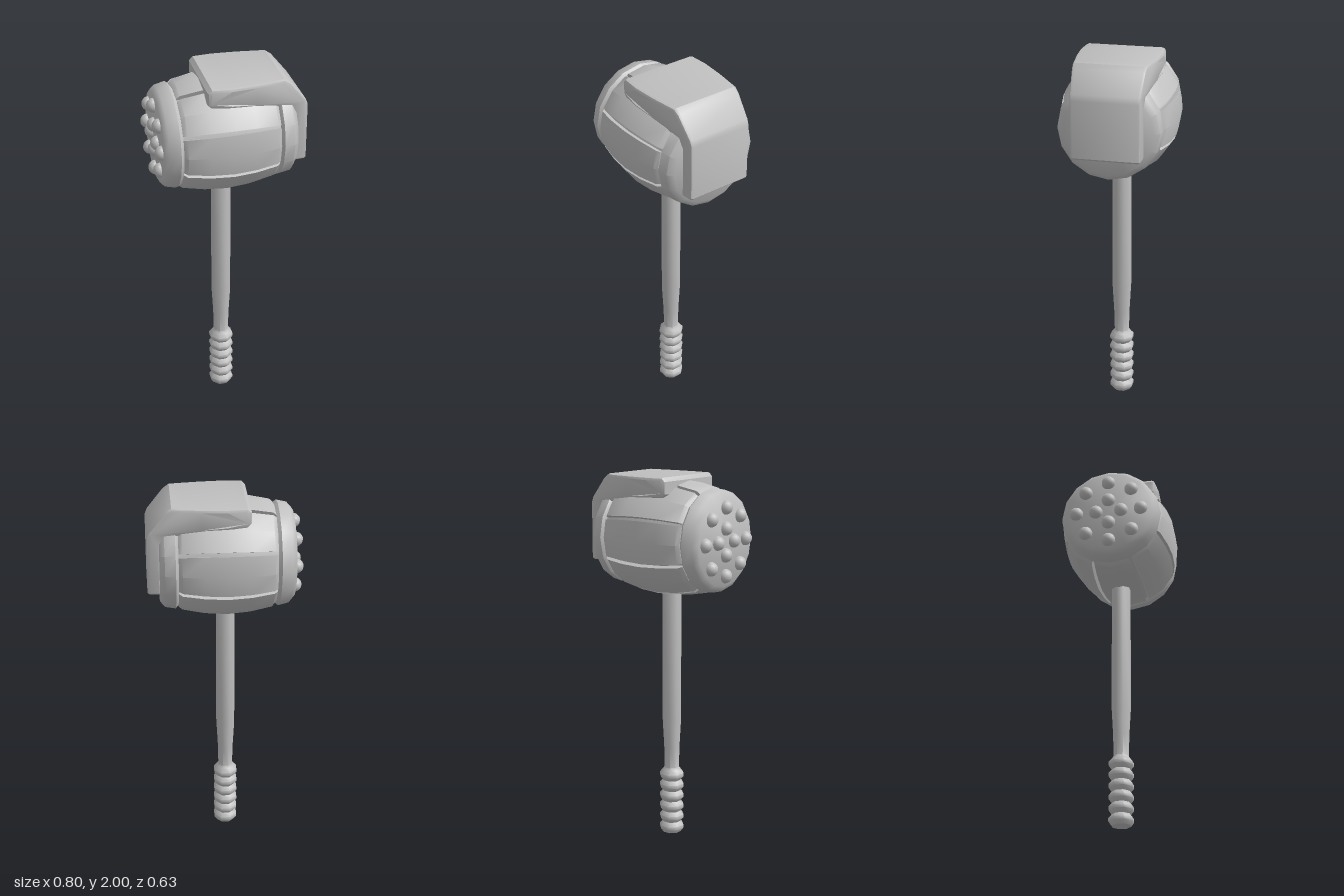
import * as THREE from 'three';
import { toCreasedNormals } from 'three/addons/utils/BufferGeometryUtils.js';

const HEAD_Y = 1.67;

export function createModel() {
  const model = new THREE.Group();
  model.name = 'mallet';
  const grey = new THREE.MeshStandardMaterial({ color: 0xc0c0c0 });
  grey.name = 'grey';

  const add = (parent, name, geometry, crease = 0.7) => {
    const mesh = new THREE.Mesh(toCreasedNormals(geometry, crease), grey);
    mesh.name = name;
    parent.add(mesh);
    return mesh;
  };
  const lathe = (points, sides, start = 0) =>
    new THREE.LatheGeometry(points.map(([r, y]) => new THREE.Vector2(r, y)), sides, start);

  // Handle: ridged grip, narrow neck, straight shaft
  const profile = [[0, 0], [0.052, 0]];
  for (let i = 0; i < 6; i++) {
    const y = i * 0.061;
    profile.push([0.068, y + 0.022], [0.068, y + 0.04], [0.05, y + 0.061]);
  }
  profile.push([0.041, 0.38], [0.044, 0.5], [0.053, 0.66], [0.053, 1.45]);
  add(model, 'handle', lathe(profile, 8, Math.PI / 8), 0.9).position.x = -0.013;

  // Head: barrel lying along x
  const head = new THREE.Group();
  head.name = 'head';
  head.position.y = HEAD_Y;
  model.add(head);
  const ring = (name, points) =>
    add(head, name, lathe(points, 16).rotateZ(-Math.PI / 2), 0.75);

  ring('barrelCore', [[0.245, -0.3], [0.253, -0.265], [0.28, -0.13], [0.288, -0.01],
    [0.28, 0.105], [0.253, 0.24], [0.245, 0.3]]);
  ring('strikingBand', [[0, -0.362], [0.235, -0.362], [0.263, -0.338], [0.276, -0.282],
    [0.262, -0.265], [0.2, -0.265]]);
  ring('rearBand', [[0.2, 0.24], [0.258, 0.24], [0.275, 0.255], [0.266, 0.31],
    [0.235, 0.336], [0, 0.336]]);

  // Staves: boxes bent round the barrel, bulging in the middle
  const steps = [0, 0.47, 0.93, 1];
  const radii = [0.313, 0.304, 0.281, 0.264];
  for (let k = 0; k < 8; k++) {
    const stave = new THREE.BoxGeometry(6, 1, 2, 6, 1, 2);
    const p = stave.attributes.position;
    for (let i = 0; i < p.count; i++) {
      const step = Math.round(Math.abs(p.getX(i)));
      const radius = p.getY(i) > 0 ? radii[step] : 0.235;
      const angle = p.getZ(i) * THREE.MathUtils.degToRad(20.5);
      p.setXYZ(i, -0.0125 + Math.sign(p.getX(i)) * steps[step] * 0.2525,
        radius * Math.cos(angle), radius * Math.sin(angle));
    }
    stave.rotateX(k * Math.PI / 4);
    add(head, 'stave', stave, 0.6);
  }

  // Studs on the striking face: inner ring of four, outer ring of eight
  for (const [count, radius] of [[4, 0.07], [8, 0.179]]) {
    for (let i = 0; i < count; i++) {
      const a = i / count * Math.PI * 2;
      const stud = add(head, 'stud', new THREE.SphereGeometry(0.038, 16, 10), 1);
      stud.position.set(-0.362, radius * Math.cos(a), radius * Math.sin(a));
    }
  }

  // Armour plate: bent over the top and down the rear, tapering toward the rear
  const outline = [[-0.13, 1.915], [-0.11, 1.896], [-0.01, 1.888], [0.12, 1.876], [0.22, 1.86],
    [0.3, 1.84], [0.325, 1.8], [0.325, 1.535], [0.335, 1.53], [0.39, 1.53], [0.4, 1.54],
    [0.4, 1.84], [0.388, 1.872], [0.302, 1.978], [0.27, 2],
    [0.22, 2], [0.12, 2], [-0.01, 2], [-0.11, 2], [-0.13, 1.98]];
  const bevel = 0.016;
  const plate = new THREE.ExtrudeGeometry(
    new THREE.Shape(outline.map(([x, y]) => new THREE.Vector2(x, y))),
    { depth: 2 - 0.16, bevelThickness: 0.08, bevelSize: bevel, bevelOffset: -bevel, bevelSegments: 2 });
  plate.translate(0, 0, -0.92);
  const widths = [[-0.13, 0.212], [-0.01, 0.221], [0.12, 0.212], [0.28, 0.191], [0.4, 0.18]];
  const halfWidth = (x) => {
    let i = 1;
    while (i < widths.length - 1 && x > widths[i][0]) i++;
    const [[x0, w0], [x1, w1]] = [widths[i - 1], widths[i]];
    return THREE.MathUtils.mapLinear(x, x0, x1, w0, w1);
  };
  const q = plate.attributes.position;
  for (let i = 0; i < q.count; i++) q.setZ(i, q.getZ(i) * halfWidth(q.getX(i)));
  add(model, 'armourPlate', plate, 0.55);

  return model;
}
